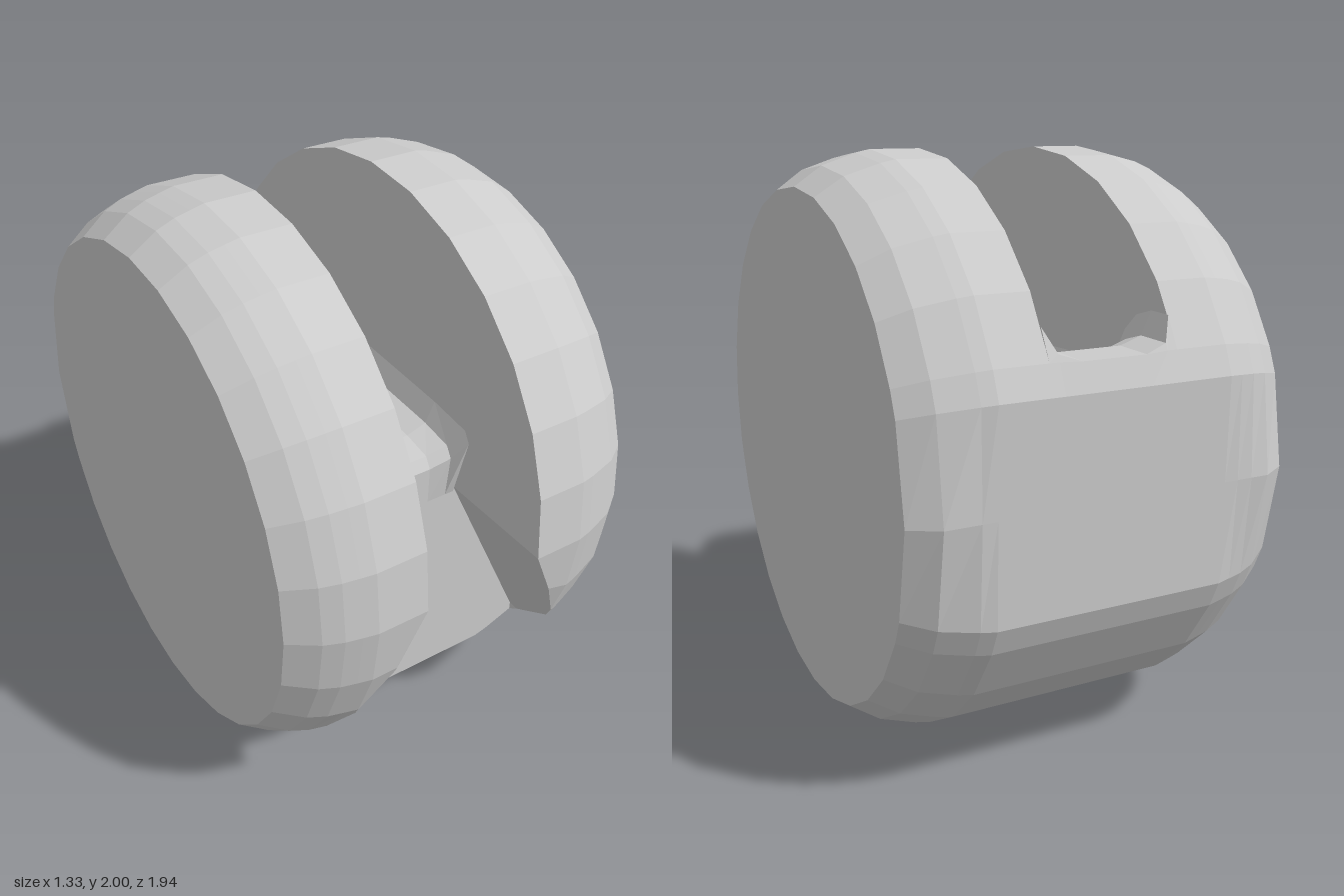
import * as THREE from 'three';

const CY = 1, CZ = -0.03;            // wheel axis
const BACK = -0.97;                  // flat cut at the back
const FRONT = 0.525;                 // upright face inside the slot
const HALF = 0.22, WIDE = 0.665;     // slot half width, body half width
const SIDES = 28;

// Angles around the axis from the front over the top; two are shifted to frame the back flat
const ANGLES = [];
for (let k = -5; k <= 24; k++) {
  const deg = k === 13 ? 160 : k === 15 ? 200 : (k * 360) / SIDES;
  ANGLES.push(THREE.MathUtils.degToRad(deg));
}

// Radius of the body with its rounded outer edge
function radius(x) {
  const pts = [[0, 1], [0.4, 1], [0.5, 0.978], [0.57, 0.95], [WIDE, 0.885]];
  const a = Math.abs(x);
  for (let i = 1; i < pts.length; i++) {
    const [x0, r0] = pts[i - 1], [x1, r1] = pts[i];
    if (a <= x1) return r0 + ((r1 - r0) * (a - x0)) / (x1 - x0);
  }
  return 0.885;
}

// Arc points [z, y] between two angles, with the back cut flat
function arc(r, from, to) {
  return ANGLES.map((a) => {
    const t = Math.min(Math.max(a, from), to);
    return [Math.max(BACK, CZ + r * Math.cos(t)), CY + r * Math.sin(t)];
  });
}

const lowAngle = (r) => -Math.acos((FRONT - CZ) / r);

// Section of a cheek: a disc, with the flared slot cut below height roof (null = whole disc)
function cheekSection(x, roof) {
  const r = radius(x), low = lowAngle(r);
  const p0 = [FRONT, CY + r * Math.sin(low)];
  const start = roof === null ? low : Math.asin((roof - CY) / r);
  const p1 = roof === null ? p0 : [FRONT, roof];
  return { x, pts: [p0, p1, ...arc(r, start, low + Math.PI * 2)] };
}

// Section of the core: upright front, floor and rear lip; lift raises the fillets at the walls
function coreSection(x, lift) {
  const low = lowAngle(1);
  const start = Math.PI - Math.asin(0.43 + lift);
  const floor = [[0.525, 1.12], [0.5, 1.16], [0.39, 1.18], [-0.61, 1.23],
    [-0.65, 1.35], [-0.71, 1.405], [-0.79, 1.43]];
  const pts = floor.map(([z, y], i) => [z + (i < 2 ? lift * 0.6 : 0), y + lift]);
  return { x, pts: [[FRONT, CY + Math.sin(low)], [FRONT, 0.98], ...pts,
    ...arc(1, start, low + Math.PI * 2)] };
}

// Skin a row of sections ordered by rising x, with optional flat ends
function loft(name, sections, capped) {
  const pos = [];
  const A = new THREE.Vector3(), B = new THREE.Vector3();
  const tri = (a, b, c) => {
    A.set(b[0] - a[0], b[1] - a[1], b[2] - a[2]);
    B.set(c[0] - a[0], c[1] - a[1], c[2] - a[2]);
    if (A.cross(B).length() > 1e-7) pos.push(...a, ...b, ...c);
  };
  const at = (s, i) => {
    const [z, y] = s.pts[i % s.pts.length];
    return [s.x, y, z];
  };
  const n = sections[0].pts.length;
  for (let j = 0; j + 1 < sections.length; j++) {
    const s = sections[j], t = sections[j + 1];
    for (let i = 0; i < n; i++) {
      tri(at(s, i), at(t, i), at(t, i + 1));
      tri(at(s, i), at(t, i + 1), at(s, i + 1));
    }
  }
  if (capped) {
    const s = sections[0], t = sections[sections.length - 1];
    for (let i = 0; i < n; i++) {
      tri([s.x, CY, CZ], at(s, i), at(s, i + 1));
      tri([t.x, CY, CZ], at(t, i + 1), at(t, i));
    }
  }
  const geo = new THREE.BufferGeometry();
  geo.setAttribute('position', new THREE.Float32BufferAttribute(pos, 3));
  geo.computeVertexNormals();
  const mesh = new THREE.Mesh(geo,
    new THREE.MeshStandardMaterial({ color: 0xcccccc, flatShading: true }));
  mesh.name = name;
  return mesh;
}

// One cheek; flare is how far out the slot spreads at its foot
function cheek(name, side, flare) {
  const roof = (x) => 1 - (0.74 * (x - HALF)) / (flare - HALF);
  const list = [HALF, 0.31, 0.4, 0.45, flare].map((x) => cheekSection(side * x, roof(x)));
  list.push(cheekSection(side * flare, null));
  if (flare < 0.57) list.push(cheekSection(side * 0.57, null));
  list.push(cheekSection(side * WIDE, null));
  if (side < 0) list.reverse();
  return loft(name, list, true);
}

export function createModel() {
  const group = new THREE.Group();
  group.name = 'slottedWheel';
  group.add(cheek('leftCheek', 1, 0.57));
  group.add(cheek('rightCheek', -1, 0.505));

  // Core between the cheeks
  const core = [[-HALF, 0.1], [-0.185, 0.025], [-0.11, 0], [0.11, 0], [0.185, 0.025], [HALF, 0.1]];
  group.add(loft('core', core.map(([x, lift]) => coreSection(x, lift)), false));
  return group;
}
